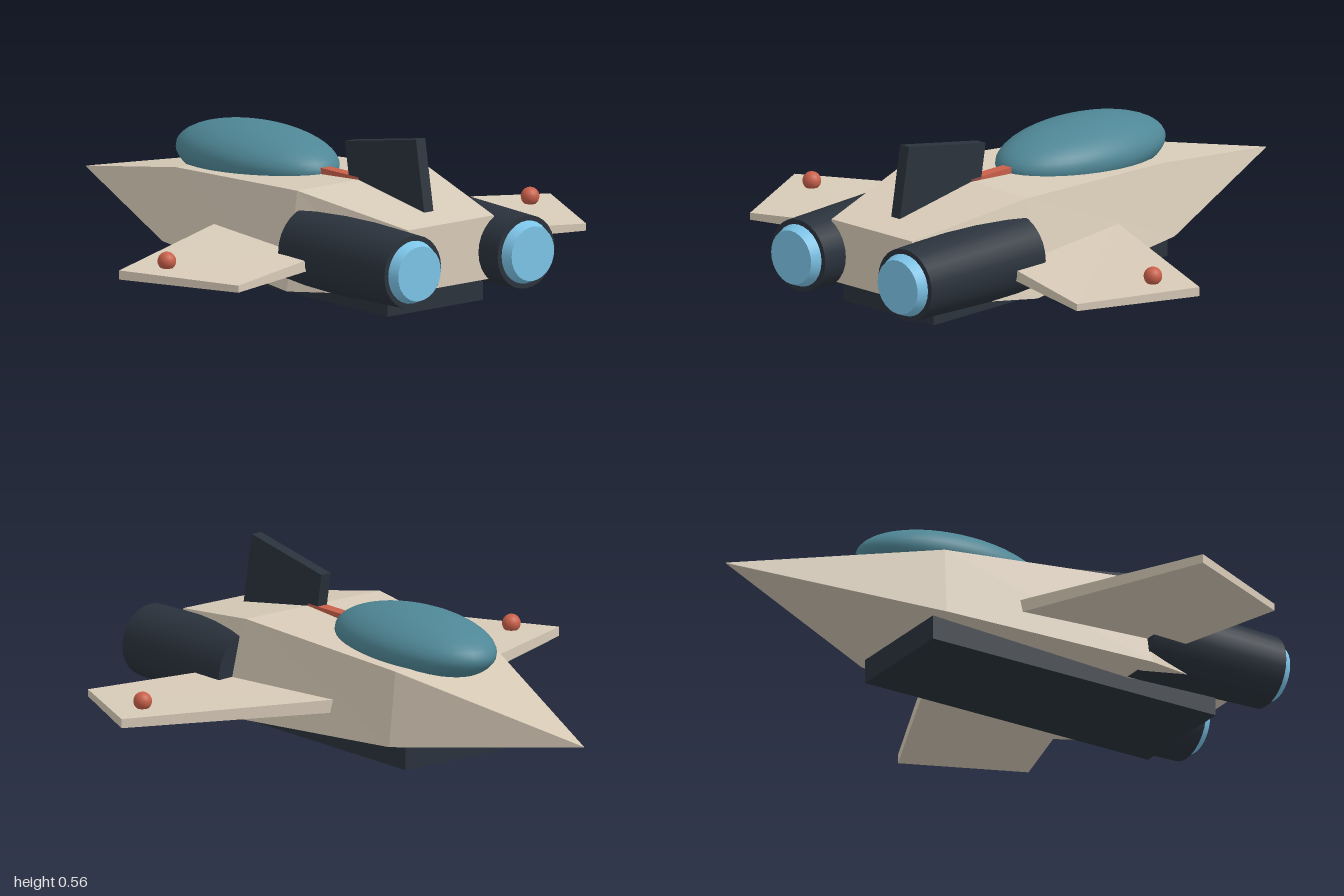
import * as THREE from 'three';

const paint = (color, flatShading = false) => new THREE.MeshStandardMaterial({ color, flatShading });
const hullPaint = paint(0xd8cbb8, true);
const darkFlat = paint(0x2a323c, true);
const darkSmooth = paint(0x2a323c);
const glass = paint(0x4f8796);
const glow = paint(0x7cc4e8);
const red = paint(0xc8604a);

function add(parent, name, geometry, material, x = 0, y = 0, z = 0) {
  const mesh = new THREE.Mesh(geometry, material);
  mesh.name = name;
  mesh.position.set(x, y, z);
  parent.add(mesh);
  return mesh;
}

// Faceted skin over four-cornered rings, closed at both ends.
// Corners run counter-clockwise as seen from the last ring's side.
function loft(rings) {
  const pos = [];
  const quad = (a, b, c, d) => pos.push(...a, ...b, ...c, ...a, ...c, ...d);
  for (let r = 0; r < rings.length - 1; r++) {
    const p = rings[r], q = rings[r + 1];
    for (let i = 0; i < 4; i++) {
      const j = (i + 1) % 4;
      quad(p[i], p[j], q[j], q[i]);
    }
  }
  const first = rings[0], last = rings[rings.length - 1];
  quad(first[3], first[2], first[1], first[0]);
  quad(...last);
  const geometry = new THREE.BufferGeometry();
  geometry.setAttribute('position', new THREE.Float32BufferAttribute(pos, 3));
  geometry.computeVertexNormals();
  return geometry;
}

// Trapezoid hull section: half widths, heights and z of bottom and top edges
const section = (wBottom, yBottom, zBottom, wTop, yTop, zTop) => [
  [-wBottom, yBottom, zBottom], [wBottom, yBottom, zBottom],
  [wTop, yTop, zTop], [-wTop, yTop, zTop],
];

export function createModel() {
  const ship = new THREE.Group();
  ship.name = 'spaceship';

  // Hull, from pointed nose to tapered stern
  add(ship, 'hull', loft([
    section(0.001, 0.184, -1, 0.001, 0.186, -1),
    section(0.26, 0.083, -0.3, 0.217, 0.33, -0.28),
    section(0.355, 0.05, 0.45, 0.285, 0.376, 0.42),
    section(0.23, 0.09, 0.87, 0.185, 0.302, 0.87),
  ]), hullPaint);

  add(ship, 'keel', new THREE.BoxGeometry(0.414, 0.084, 1.11), darkFlat, 0, 0.042, 0.235);

  // Canopy bubble
  const canopy = add(ship, 'canopy', new THREE.SphereGeometry(1, 40, 24), glass, 0, 0.368, -0.12);
  canopy.scale.set(0.195, 0.11, 0.352);

  // Spine bar and swept tail fin
  add(ship, 'spineBar', new THREE.BoxGeometry(0.04, 0.04, 0.3), red, 0, 0.364, 0.27);
  const fin = add(ship, 'tailFin', new THREE.BoxGeometry(0.04, 0.26, 0.37), darkFlat, 0, 0.4, 0.555);
  fin.rotation.x = -0.175;

  // Paired parts on both sides
  for (const side of [1, -1]) {
    const label = side > 0 ? 'left' : 'right';

    // Swept wing, root ring then tip ring
    const root = [[0.25, 0.145, -0.03], [0.25, 0.19, -0.03], [0.25, 0.182, 0.535], [0.25, 0.14, 0.535]];
    const tip = [[0.932, 0.142, 0.275], [0.932, 0.173, 0.275], [0.752, 0.162, 0.672], [0.752, 0.138, 0.672]];
    const rings = [root, tip].map((ring) => {
      const r = ring.map(([x, y, z]) => [x * side, y, z]);
      return side > 0 ? r : r.reverse();
    });
    add(ship, label + 'Wing', loft(rings), hullPaint);
    add(ship, label + 'WingLight', new THREE.SphereGeometry(0.031, 20, 14), red, side * 0.785, 0.196, 0.345);

    // Engine pod with glowing nozzle
    const engine = new THREE.Group();
    engine.name = label + 'Engine';
    engine.position.set(side * 0.245, 0.185, 0);
    engine.rotation.x = Math.PI / 2;
    add(engine, 'pod', new THREE.CylinderGeometry(0.123, 0.139, 0.525, 28), darkSmooth, 0, 0.7025, 0);
    add(engine, 'nozzle', new THREE.CylinderGeometry(0.092, 0.112, 0.05, 28), glow, 0, 0.975, 0);
    ship.add(engine);
  }
  return ship;
}
